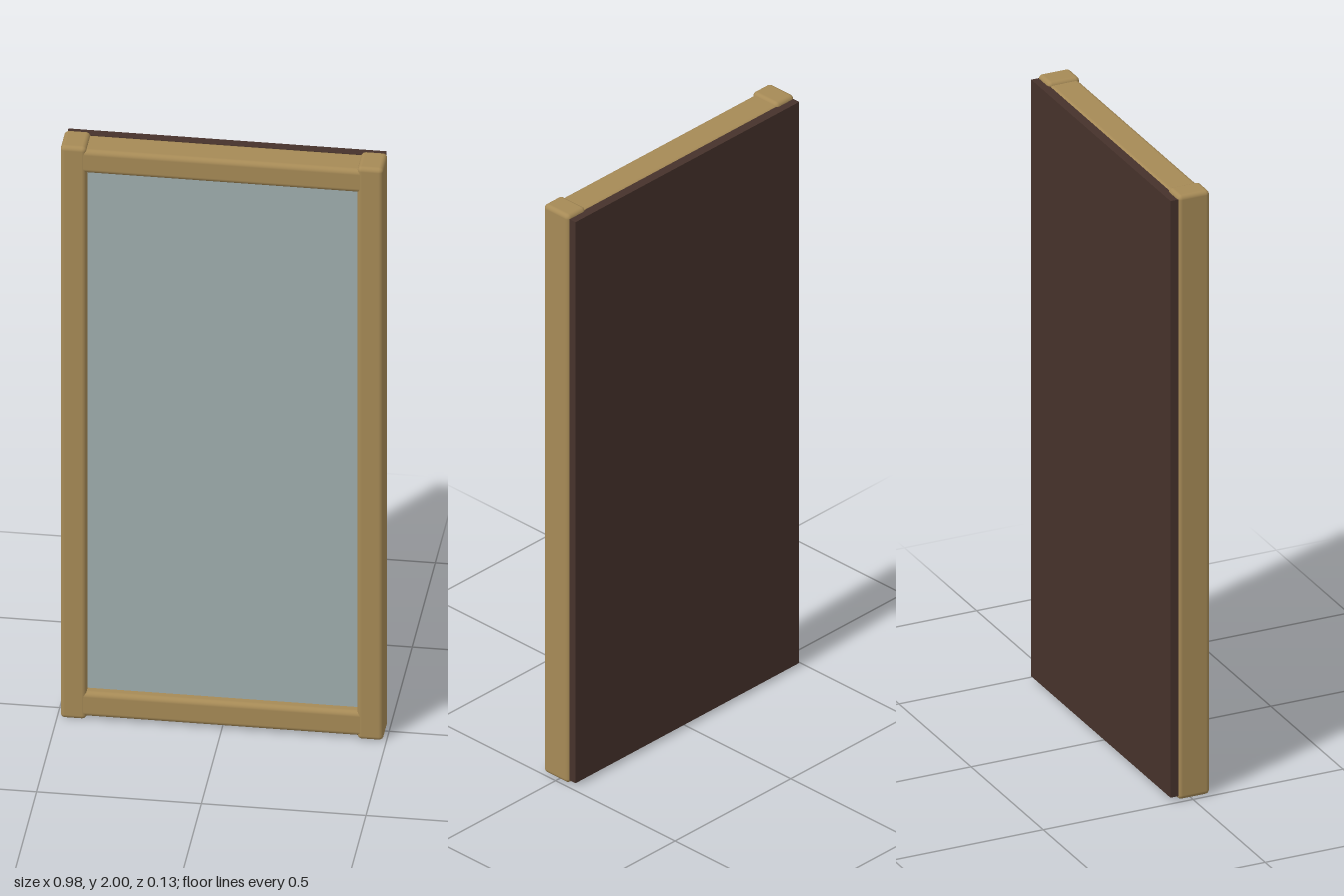
import * as THREE from 'three';
import { RoundedBoxGeometry } from 'three/addons/geometries/RoundedBoxGeometry.js';

const wood = new THREE.MeshStandardMaterial({ color: 0xa68a56 });
const glass = new THREE.MeshStandardMaterial({ color: 0x9fadad });
const backing = new THREE.MeshStandardMaterial({ color: 0x46322b });

export function createModel() {
  const group = new THREE.Group();

  // Adds a box from its lower and upper corners, rounded when a radius is given
  const addBox = (name, material, [x0, y0, z0], [x1, y1, z1], radius = 0) => {
    const size = [x1 - x0, y1 - y0, z1 - z0];
    const geometry = radius
      ? new RoundedBoxGeometry(...size, 3, radius)
      : new THREE.BoxGeometry(...size);
    const mesh = new THREE.Mesh(geometry, material);
    mesh.name = name;
    mesh.position.set((x0 + x1) / 2, (y0 + y1) / 2, (z0 + z1) / 2);
    group.add(mesh);
  };

  // Upright sides of the frame
  addBox('leftStile', wood, [0.411, 0, -0.043], [0.49, 2, 0.063], 0.014);
  addBox('rightStile', wood, [-0.49, 0, -0.043], [-0.411, 2, 0.063], 0.014);

  // Cross rails, ends tucked into the stiles
  addBox('topRail', wood, [-0.45, 1.91, -0.042], [0.45, 1.99, 0.062], 0.016);
  addBox('bottomRail', wood, [-0.45, 0.01, -0.042], [0.45, 0.095, 0.062], 0.016);

  // Recessed mirror pane
  addBox('mirrorPane', glass, [-0.43, 0.08, -0.038], [0.43, 1.925, 0.03]);

  // Dark board covering the back
  addBox('backPanel', backing, [-0.483, 0.012, -0.067], [0.483, 1.988, -0.037]);

  return group;
}
